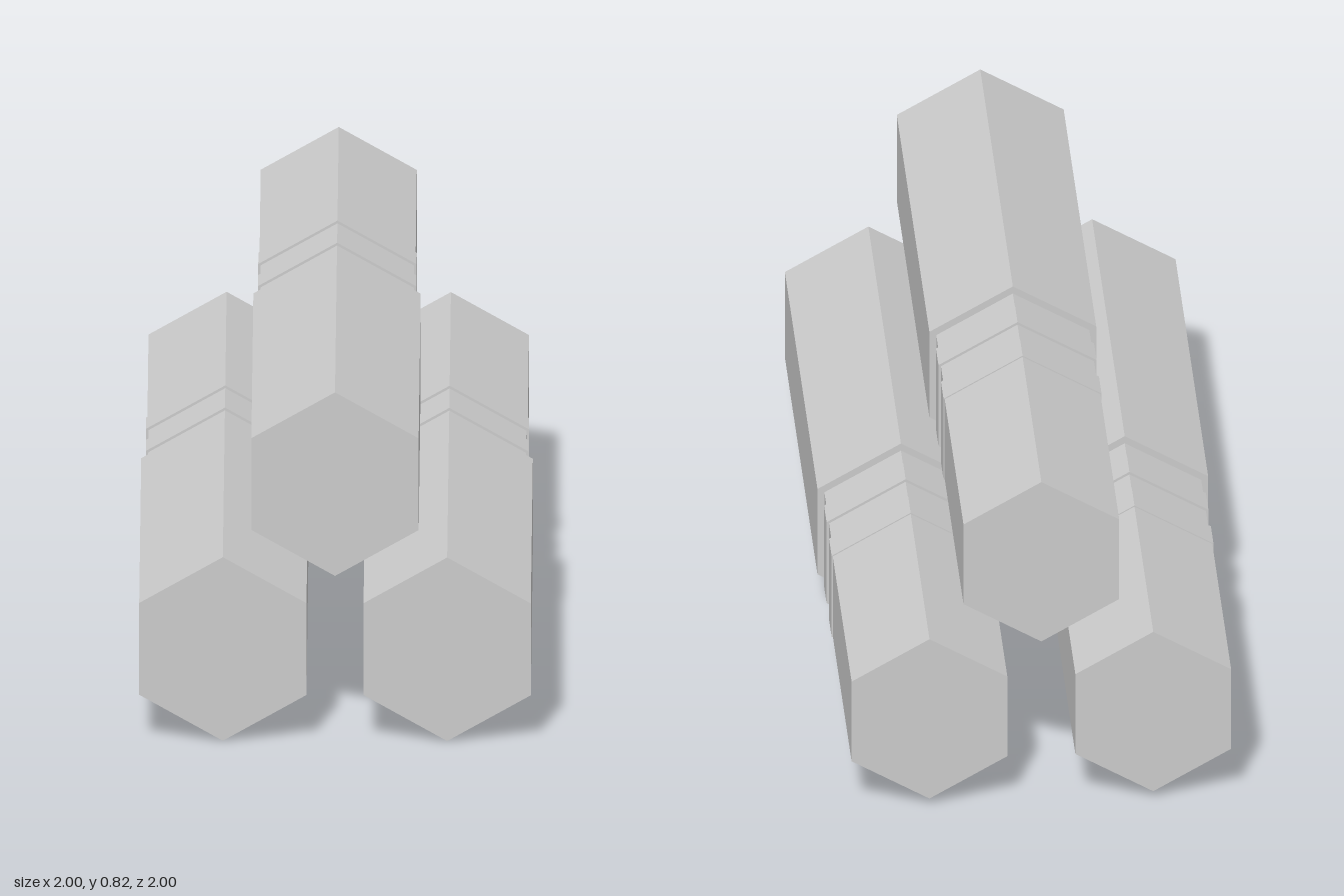
import * as THREE from 'three';

// Hexagonal stick with a thick shaft, a grooved collar and a slimmer grip.
// Each entry is [radius, distance at which that section ends].
const SECTIONS = [
  [0.217, 1.045], // shaft
  [0.199, 1.115], // groove
  [0.2055, 1.195], // ring
  [0.199, 1.275], // groove
  [0.2055, 1.357], // ring
  [0.2025, 1.96], // grip
];

function stickGeometry() {
  const profile = [new THREE.Vector2(0, 0)];
  let start = 0;
  for (const [radius, end] of SECTIONS) {
    profile.push(new THREE.Vector2(radius, start), new THREE.Vector2(radius, end));
    start = end;
  }
  profile.push(new THREE.Vector2(0, start));
  const geometry = new THREE.LatheGeometry(profile, 6).toNonIndexed();
  geometry.computeVertexNormals(); // flat facets
  geometry.rotateX(-Math.PI / 2); // lie down, one corner pointing up
  return geometry;
}

export function createModel() {
  const model = new THREE.Group();
  model.name = 'stickStack';
  const grey = new THREE.MeshStandardMaterial({ color: 0xcccccc });
  grey.name = 'grey';
  const geometry = stickGeometry();

  // Two sticks below, one resting on top
  const places = [
    ['lowerRightStick', -0.252, 0.217],
    ['lowerLeftStick', 0.252, 0.217],
    ['upperStick', 0, 0.607],
  ];
  const stack = new THREE.Group();
  stack.name = 'sticks';
  for (const [name, x, y] of places) {
    const stick = new THREE.Mesh(geometry, grey);
    stick.name = name;
    stick.position.set(x, y, 0.974);
    stack.add(stick);
  }
  stack.rotation.y = -Math.PI / 4; // the stack lies diagonally
  model.add(stack);
  return model;
}
